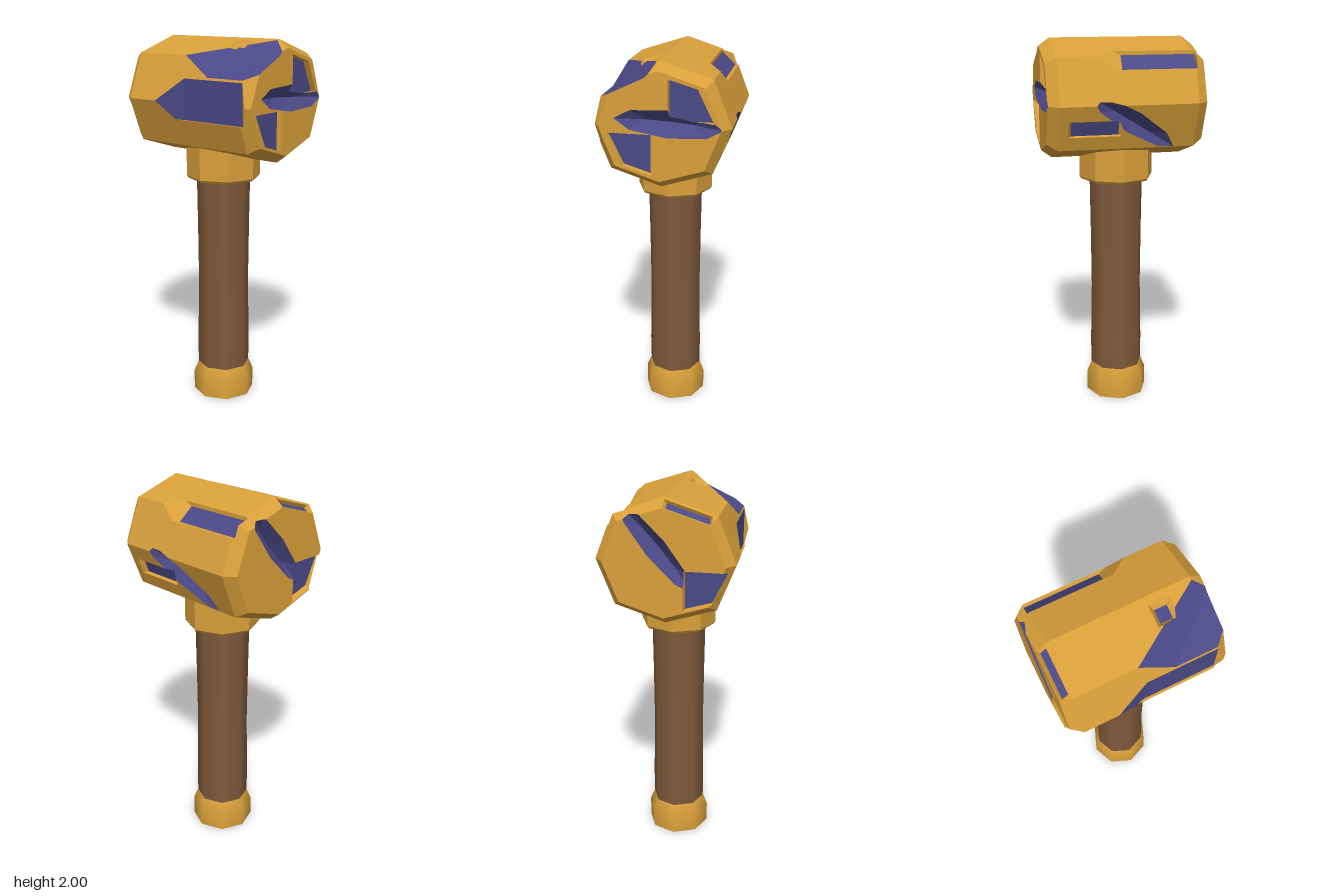
import * as THREE from 'three';

const mat = (name, color) => Object.assign(new THREE.MeshStandardMaterial({ color }), { name });
const V = (p) => new THREE.Vector3(...p);

// Plane through three points, facing away from the given inside point
function planeOf(a, b, c, inside, tone) {
  const n = V(b).sub(V(a)).cross(V(c).sub(V(a))).normalize();
  let d = n.dot(V(a));
  if (n.dot(inside) > d) { n.negate(); d = -d; }
  return { n, d, tone };
}

// Part of a polygon on one side of a plane (side 1 = inside, -1 = outside)
function clip(poly, { n, d }, side) {
  const out = [];
  poly.forEach((p, i) => {
    const q = poly[(i + 1) % poly.length];
    const a = (n.dot(p) - d) * side, b = (n.dot(q) - d) * side;
    if (a <= 0) out.push(p);
    if ((a < 0 && b > 0) || (a > 0 && b < 0)) out.push(p.clone().lerp(q, a / (a - b)));
  });
  return out.length > 2 ? out : [];
}

// Large square lying on a plane, trimmed by other planes
function faceOn(plane, limits) {
  const u = new THREE.Vector3(0.31, 0.87, 0.39).cross(plane.n).normalize();
  const v = plane.n.clone().cross(u);
  let poly = [0, 1, 2, 3].map((i) => {
    const a = (i * Math.PI) / 2;
    return plane.n.clone().multiplyScalar(plane.d)
      .addScaledVector(u, 5 * Math.cos(a)).addScaledVector(v, 5 * Math.sin(a));
  });
  for (const l of limits) if (l !== plane) poly = clip(poly, l, 1);
  return poly;
}

// Remove a convex cut from a list of polygons
function subtract(polys, cut) {
  const kept = [];
  for (const poly of polys) {
    let rest = poly;
    for (const plane of cut) {
      const out = clip(rest, plane, -1);
      if (out.length) kept.push(out);
      rest = clip(rest, plane, 1);
    }
  }
  return kept;
}

// Open-topped cut whose walls run from a rim loop to an inner loop
function loopCut(outer, inner, tone, endTone = tone) {
  const mid = new THREE.Vector3();
  [...outer, ...inner].forEach((p) => mid.add(V(p)));
  mid.divideScalar(outer.length + inner.length);
  const cut = outer.map((p, i) => planeOf(p, outer[(i + 1) % outer.length], inner[i], mid,
    i === outer.length - 1 ? endTone : tone));
  if (tone === 'gold') cut.push(planeOf(inner[0], inner[1], inner[3], mid, 'blue'));
  return cut;
}

// Panel sunk into a face: the floor is the outline drawn in towards its middle
function panel(place, outline, inset, depth) {
  const mean = (k) => outline.reduce((sum, p) => sum + p[k] / outline.length, 0);
  const cu = mean(0), cv = mean(1);
  return loopCut(outline.map(([u, v]) => place(u, v, 0)),
    outline.map(([u, v]) => place(u + (cu - u) * inset, v + (cv - v) * inset, depth)), 'gold');
}
const rect = (u0, v0, u1, v1) => [[u0, v0], [u1, v0], [u1, v1], [u0, v1]];

// V-shaped gash: slim oval rim from tip to tip, sloping down to a two-point keel
function gash(place, [u0, v0], [u1, v1], halfWidth, depth) {
  const du = u1 - u0, dv = v1 - v0, w = halfWidth / Math.hypot(du, dv);
  const spot = (f, s, d) => place(u0 + du * f - dv * s * w, v0 + dv * f + du * s * w, d);
  const outer = [], inner = [];
  for (let i = 0; i < 8; i++) {
    const a = (i * Math.PI) / 4;
    outer.push(spot(0.5 - 0.5 * Math.cos(a), Math.sin(a), 0));
    inner.push(spot(i < 2 || i > 5 ? 0.28 : 0.72, 0, depth));
  }
  return loopCut(outer, inner, 'blue');
}

// Corners of a strip between two (x, y) lines, running from z0 to z1
const strip = (a, b, z0, z1) => [[...a, z0], [...a, z1], [...b, z1], [...b, z0]];

// Octagonal block with chamfered ends
function headPlanes() {
  const c = new THREE.Vector3(0, 1.69, 0);
  const corner = (i, s, z) => {
    const a = (i * Math.PI) / 4, r = (i % 2 ? 1.045 : 1) * s;
    return [0.345 * r * Math.sin(a), 1.69 + 0.31 * r * Math.cos(a), z];
  };
  const planes = [];
  for (let i = 0; i < 8; i++) {
    planes.push(planeOf(corner(i, 1, 0), corner(i + 1, 1, 0), corner(i, 1, 1), c, 'gold'));
    for (const e of [1, -1]) planes.push(planeOf(corner(i, 1, 0.35 * e), corner(i + 1, 1, 0.35 * e),
      corner(i, 0.87, 0.405 * e), c, 'gold'));
  }
  for (const z of [0.405, -0.405]) planes.push(planeOf([0, 0, z], [1, 0, z], [0, 1, z], c, 'gold'));
  return planes;
}

// Surfaces of the head on which damage is placed: two coordinates plus depth
const front = (x, y, d) => [x, y, 0.405 - d];
const back = (x, y, d) => [x, y, d - 0.405];
const side = (z, y, d) => [0.255 + 0.391 * (y - 1.46) - d, y, z];
const top = (x, z, d) => [x, 2 - 0.314 * Math.abs(x) - d, z];
const rim = (x, t, d) => [x, 2 - 0.04 * t - 0.314 * Math.abs(x) - 0.8 * d, -0.35 - 0.055 * t + 0.6 * d];

function headCuts() {
  const cuts = [];
  // broken upper corner: floor and slanted wall
  const chip = new THREE.Vector3(-0.25, 1.95, 0.35), foot = [-0.07, 1.925, 0.405];
  cuts.push([planeOf([-0.24, 1.845, 0], [-0.24, 1.845, 1], foot, chip, 'blue'),
    planeOf([-0.255, 1.92, -0.04], [-0.01, 1.997, 0.36], foot, chip, 'blue')]);
  // recess on the right side below the broken corner
  cuts.push(loopCut(strip([-0.315, 1.6], [-0.32, 1.86], -0.08, 0.375),
    strip([-0.297, 1.6], [-0.299, 1.86], -0.01, 0.355), 'gold', 'blue'));
  // long strip on the upper left edge
  cuts.push(loopCut(strip([0.19, 1.94], [0.28, 1.855], -0.36, 0.065),
    strip([0.19, 1.92], [0.262, 1.855], -0.36, 0.02), 'gold'));
  // corner panels: one outline, half-turned on the front and shifted on the back
  const outline = [[-0.262, 1.655], [-0.04, 1.655], [-0.04, 1.45], [-0.182, 1.492]];
  cuts.push(panel(front, outline, 0.03, 0.03));
  cuts.push(panel(front, outline.map(([x, y]) => [0.005 - x, 3.375 - y]), 0.03, 0.03));
  cuts.push(panel(back, outline.map(([x, y]) => [x - 0.055, y + 0.008]), 0.06, 0.035));
  // rectangular recesses: left side, top pit, back chamfer
  cuts.push(panel(side, rect(0.305, 1.53, 0.03, 1.612), 0.12, 0.025));
  cuts.push(panel(top, rect(-0.14, 0.122, -0.035, 0.227), 0.4, 0.03));
  cuts.push(panel(rim, rect(-0.23, 0.2, 0, 0.96), 0.1, 0.02));
  // gashes on the front, left side and back
  cuts.push(gash(front, [-0.22, 1.728], [0.31, 1.693], 0.068, 0.045));
  cuts.push(gash(side, [0.195, 1.735], [-0.245, 1.462], 0.058, 0.045));
  cuts.push(gash(back, [0.205, 1.97], [-0.14, 1.56], 0.056, 0.045));
  return cuts;
}

function buildHead(materials) {
  const head = headPlanes(), cuts = headCuts();
  const tris = { gold: [], blue: [] };
  const emit = (poly, tone) => {
    for (let i = 1; i < poly.length - 1; i++)
      for (const p of [poly[0], poly[i], poly[i + 1]]) tris[tone].push(p.x, p.y, p.z);
  };
  for (const plane of head) {
    let polys = [faceOn(plane, head)];
    for (const cut of cuts) polys = subtract(polys, cut);
    polys.forEach((p) => emit(p, plane.tone));
  }
  for (const cut of cuts) for (const plane of cut) {
    let polys = [faceOn(plane, [...cut, ...head])];
    for (const other of cuts) if (other !== cut) polys = subtract(polys, other);
    polys.forEach((p) => emit(p.slice().reverse(), plane.tone));
  }
  const group = new THREE.Group();
  group.name = 'head';
  for (const [tone, name] of [['gold', 'headBlock'], ['blue', 'headGashes']]) {
    const g = new THREE.BufferGeometry();
    g.setAttribute('position', new THREE.Float32BufferAttribute(tris[tone], 3));
    g.computeVertexNormals();
    const mesh = new THREE.Mesh(g, materials[tone]);
    mesh.name = name;
    group.add(mesh);
  }
  return group;
}

export function createModel() {
  const gold = mat('gold', 0xd9a03a), blue = mat('indigo', 0x4b4987), brown = mat('brown', 0x805a3b);
  const model = new THREE.Group();
  model.name = 'hammer';
  const add = (name, geometry, material) => {
    const mesh = new THREE.Mesh(geometry, material);
    mesh.name = name;
    model.add(mesh);
  };
  const lathe = (pts) => new THREE.LatheGeometry(pts.map(([r, y]) => new THREE.Vector2(r, y)), 8);

  model.add(buildHead({ gold, blue }));

  // faceted collar under the head
  const collar = lathe([[0.14, 1.255], [0.19, 1.257], [0.2, 1.27], [0.2, 1.46]]).toNonIndexed();
  collar.computeVertexNormals();
  add('collar', collar, gold);

  // slightly waisted grip and its end cap
  add('handle', lathe([[0.144, 0.15], [0.146, 0.3], [0.139, 0.65], [0.142, 1], [0.146, 1.28]]), brown);
  add('endCap', lathe([[0.17, 0], [0.17, 0.11], [0.144, 0.17]]), gold);
  add('endCapBase', new THREE.CircleGeometry(0.17, 8).rotateX(Math.PI / 2), gold);
  return model;
}
